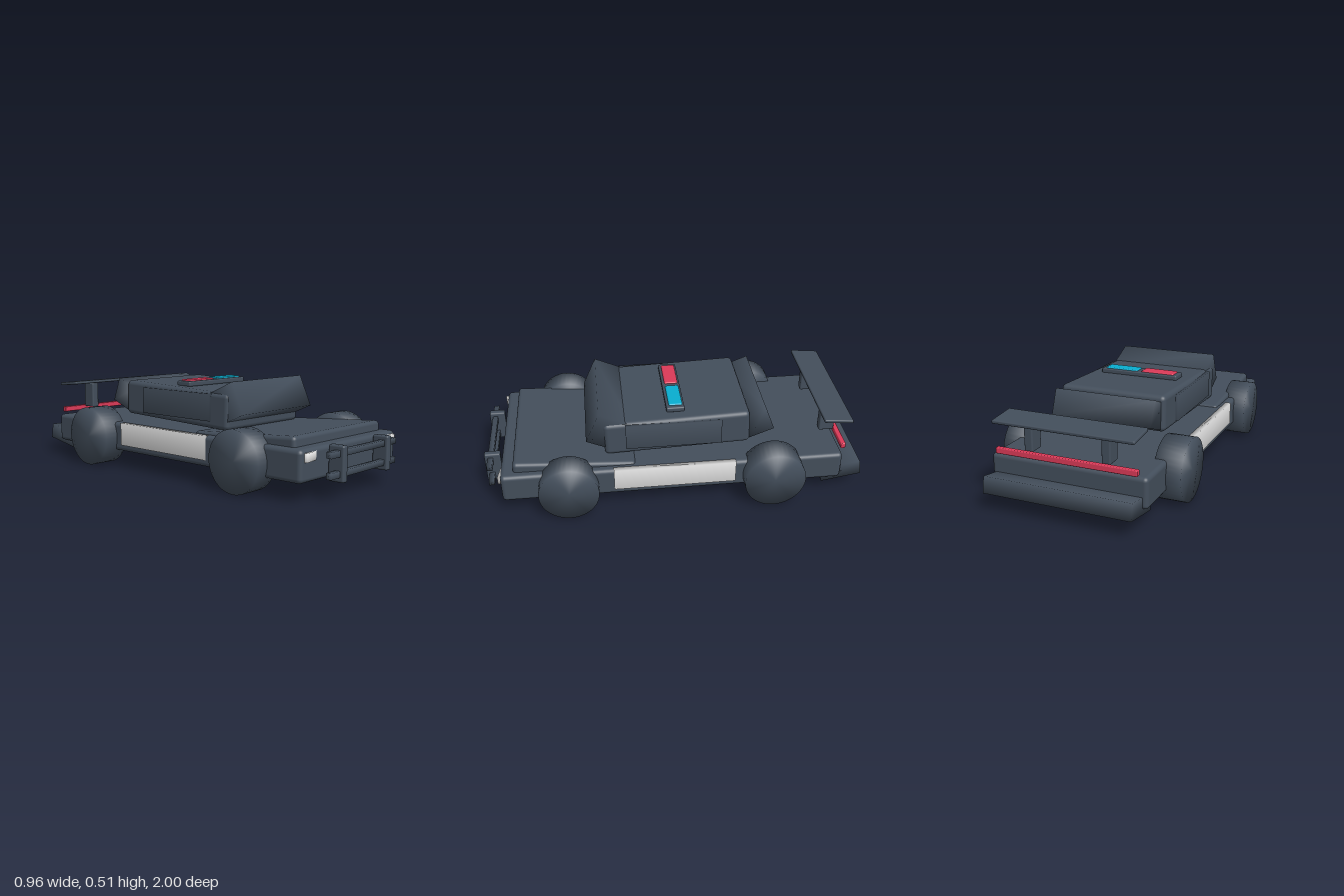
import * as THREE from 'three';
import { mergeVertices } from 'three/addons/utils/BufferGeometryUtils.js';
import { RoundedBoxGeometry } from 'three/addons/geometries/RoundedBoxGeometry.js';

const material = (name, color) => {
  const m = new THREE.MeshStandardMaterial({ color });
  m.name = name;
  return m;
};

// Share the corner normals so the shading flows over the edges
function smooth(geometry) {
  geometry.deleteAttribute('uv');
  geometry.deleteAttribute('normal');
  const merged = mergeVertices(geometry, 1e-4);
  merged.computeVertexNormals();
  return merged;
}

export function createModel() {
  const dark = material('slate body', 0x434e5b);
  const white = material('white', 0xe2e2e2);
  const red = material('red light', 0xdc3a58);
  const blue = material('blue light', 0x08aed0);

  const car = new THREE.Group();
  car.name = 'patrolCar';

  const add = (name, geometry, mat, x, y, z, tilt = 0, turn = 0) => {
    const mesh = new THREE.Mesh(geometry, mat);
    mesh.name = name;
    mesh.position.set(x, y, z);
    mesh.rotation.set(tilt, turn, 0);
    car.add(mesh);
    return mesh;
  };
  const rounded = (w, h, d, r) => new RoundedBoxGeometry(w, h, d, 3, r);
  const panel = (w, h, d) => smooth(new THREE.BoxGeometry(w, h, d));

  // Body shell, hood and cabin
  add('body', rounded(0.81, 0.155, 1.785, 0.022), dark, 0, 0.168, 0.013);
  add('hood', rounded(0.73, 0.1, 0.63, 0.02), dark, 0, 0.225, 0.527, -0.065);
  add('cabin', rounded(0.58, 0.187, 0.765, 0.025), dark, 0, 0.364, -0.014, 0.035);

  // Windows, standing proud of the cabin
  add('windshield', panel(0.56, 0.175, 0.185), dark, 0, 0.39, 0.34, -0.42);
  add('rearWindow', panel(0.54, 0.137, 0.14), dark, 0, 0.386, -0.44, 0.37);

  // Rear diffuser
  add('diffuser', panel(0.76, 0.083, 0.217), dark, 0, 0.112, -0.888, 0.17);

  // Paired parts on both sides
  for (const s of [-1, 1]) {
    add('sideWindow', panel(0.03, 0.14, 0.5), dark, s * 0.287, 0.37, 0.005);
    add('doorPanel', panel(0.03, 0.122, 0.635), white, s * 0.396, 0.186, 0.01);
    add('headlight', panel(0.15, 0.042, 0.03), white, s * 0.304, 0.209, 0.893, 0, s * -0.17);
    add('bullBarPost', rounded(0.038, 0.172, 0.085, 0.01), dark, s * 0.19, 0.166, 0.957);
    add('spoilerPost', rounded(0.045, 0.145, 0.082, 0.008), dark, s * 0.2, 0.35, -0.833);

    // Wheels
    for (const [name, r, z, w] of [['frontWheel', 0.155, 0.562, 0.125], ['rearWheel', 0.16, -0.507, 0.138]]) {
      const tyre = new THREE.CylinderGeometry(r, r, w, 40).rotateZ(Math.PI / 2);
      add(name, smooth(tyre), dark, s * (0.342 + w / 2), r + 0.001, z);
    }
  }

  // Bull bar rails
  for (const y of [0.215, 0.119]) add('bullBarRail', panel(0.56, 0.03, 0.028), dark, 0, y, 0.968);

  // Roof light bar
  add('lightBarBase', rounded(0.44, 0.028, 0.096, 0.008), dark, 0, 0.469, -0.012);
  add('redBeacon', rounded(0.185, 0.028, 0.072, 0.008), red, -0.106, 0.476, -0.014);
  add('blueBeacon', rounded(0.185, 0.028, 0.072, 0.008), blue, 0.104, 0.476, -0.014);

  // Spoiler wing and tail light strip
  add('spoilerWing', rounded(0.725, 0.018, 0.155, 0.006), dark, 0, 0.427, -0.847, -0.1);
  add('tailLight', rounded(0.73, 0.03, 0.026, 0.005), red, 0, 0.27, -0.888);

  return car;
}
